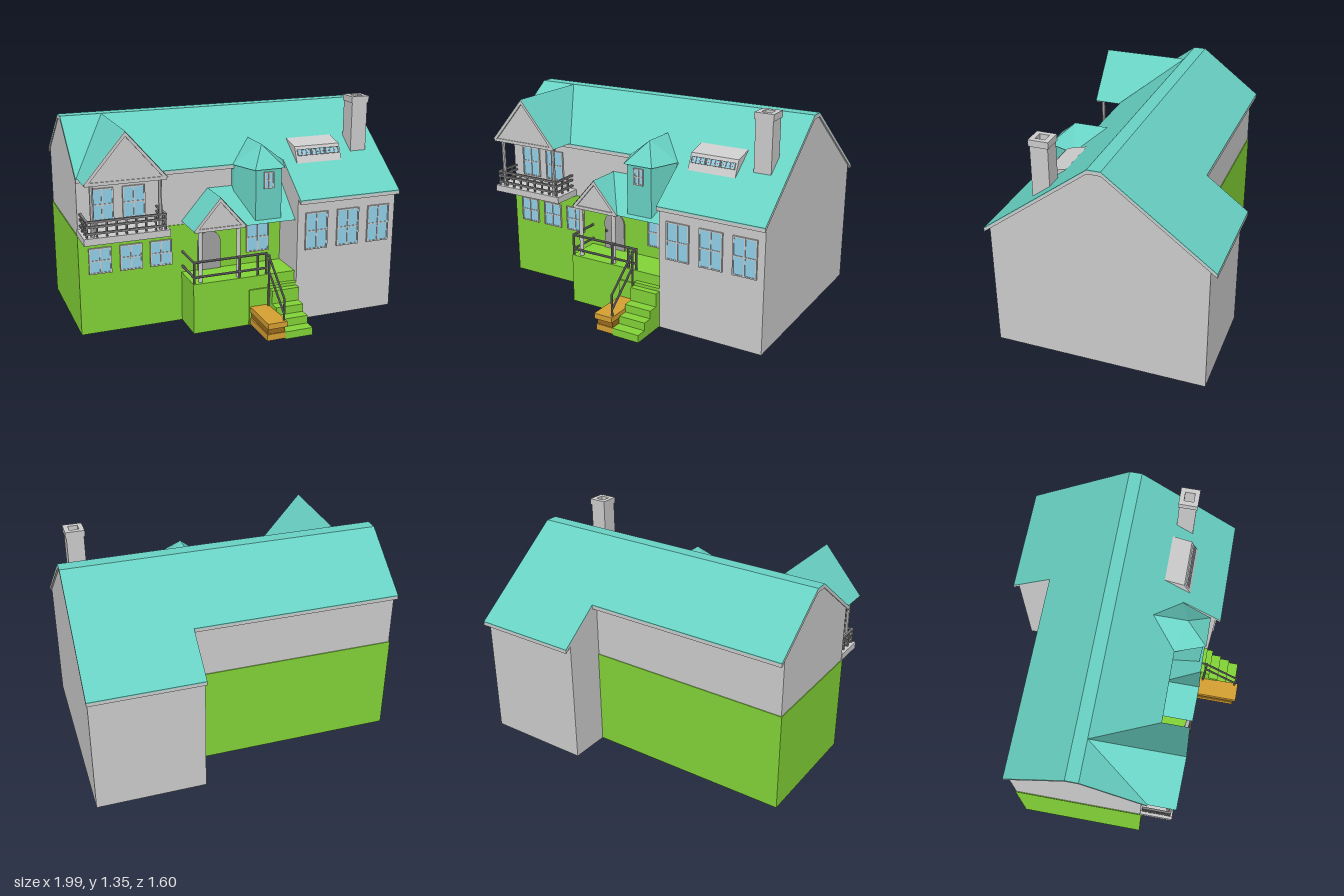
import * as THREE from 'three';

const mat = (color, side = THREE.FrontSide) => new THREE.MeshStandardMaterial({ color, side, flatShading: true });
const GREY = mat(0xcccccc), GREY2 = mat(0xcccccc, THREE.DoubleSide);
const TEAL = mat(0x68d1c3), TEAL2 = mat(0x68d1c3, THREE.DoubleSide);
const GREEN = mat(0x82d237), GREEN2 = mat(0x82d237, THREE.DoubleSide);
const BLUE = mat(0x90cfe8), RAIL = mat(0x808080), DOOR = mat(0xa0a0a0);
const ORANGE = mat(0xd6a032), BROWN = mat(0x9a6a1c);

const add = (g, name, geo, m) => {
  const mesh = new THREE.Mesh(geo, m);
  mesh.name = name;
  g.add(mesh);
  return mesh;
};

// Box given by its limits
function box(g, name, m, x0, x1, y0, y1, z0, z1) {
  const geo = new THREE.BoxGeometry(x1 - x0, y1 - y0, z1 - z0);
  geo.translate((x0 + x1) / 2, (y0 + y1) / 2, (z0 + z1) / 2);
  return add(g, name, geo, m);
}

// Round bar between two points
function bar(g, name, m, a, b, r, sides = 8) {
  const A = new THREE.Vector3(...a), B = new THREE.Vector3(...b), d = B.clone().sub(A);
  const mesh = add(g, name, new THREE.CylinderGeometry(r, r, d.length(), sides), m);
  mesh.position.copy(A).add(B).multiplyScalar(0.5);
  mesh.quaternion.setFromUnitVectors(new THREE.Vector3(0, 1, 0), d.normalize());
}

const shapeOf = (pts) => new THREE.Shape(pts.map((p) => new THREE.Vector2(...p)));

// Profile of [z, y] points extruded from x0 to x1
function extrudeX(g, name, m, pts, x0, x1) {
  const geo = new THREE.ExtrudeGeometry(shapeOf(pts), { depth: x1 - x0, bevelEnabled: false });
  geo.rotateY(-Math.PI / 2).translate(x1, 0, 0);
  return add(g, name, geo, m);
}

// Profile of [x, y] points extruded from z0 to z1
function extrudeZ(g, name, m, shape, z0, z1) {
  const geo = new THREE.ExtrudeGeometry(shape, { depth: z1 - z0, bevelEnabled: false });
  return add(g, name, geo.translate(0, 0, z0), m);
}

// Flat polygons, each fanned into triangles
function facets(g, name, m, polys) {
  const v = [];
  for (const p of polys) for (let i = 1; i < p.length - 1; i++) v.push(...p[0], ...p[i], ...p[i + 1]);
  const geo = new THREE.BufferGeometry();
  geo.setAttribute('position', new THREE.Float32BufferAttribute(v, 3));
  geo.computeVertexNormals();
  return add(g, name, geo, m);
}

// Front-facing window with frame and glazing bars
function windowAt(parent, x0, x1, y0, y1, z, cols = 2, rows = 2, t = 0.004) {
  const g = new THREE.Group();
  g.name = 'window';
  box(g, 'pane', BLUE, x0, x1, y0, y1, z - 0.004, z + 0.004);
  for (let i = 0; i <= cols; i++) {
    const x = x0 + (x1 - x0) * i / cols;
    box(g, 'uprightBar', GREY, x - t, x + t, y0 - t, y1 + t, z - 0.004, z + 0.009);
  }
  for (let i = 0; i <= rows; i++) {
    const y = y0 + (y1 - y0) * i / rows;
    box(g, 'crossBar', GREY, x0 - t, x1 + t, y - t, y + t, z - 0.004, z + 0.008);
  }
  parent.add(g);
}

// Height of the main roof at depth z
const SLOPE = 0.754;
const roofY = (z) => 1.28 - SLOPE * Math.max(0, z + 0.07, -0.15 - z);
const roofLine = (zf, zb, drop) => [zf, -0.07, -0.15, zb].map((z) => [z, roofY(z) - drop]);

// Teal covering over a grey slab
function mainRoof(g, x0, x1, zf, zb) {
  const layer = (a, b) => [...roofLine(zf, zb, a), ...roofLine(zf, zb, b).reverse()];
  extrudeX(g, 'roofCovering', TEAL, layer(0, 0.006), x0, x1);
  extrudeX(g, 'roofSlab', GREY, layer(0.006, 0.026), x0, x1);
}

const gableWall = (g, x0, x1, zf, zb) =>
  extrudeX(g, 'gableWall', GREY, [[zf, 0], ...roofLine(zf, zb, 0.024), [zb, 0]], x0, x1);

// Triangular gable front with raised trim
function gableFront(g, cx, half, eave, apex, z) {
  const tri = (k) => [[cx - half + k, eave], [cx, apex - k * 1.1], [cx + half - k, eave]];
  extrudeZ(g, 'gableFront', GREY, shapeOf(tri(0.015)), z - 0.03, z - 0.01);
  const trim = shapeOf([...tri(0.004), ...tri(0.028).reverse()]);
  extrudeZ(g, 'gableTrim', GREY, trim, z - 0.03, z);
  box(g, 'gableBeam', GREY, cx - half + 0.01, cx + half - 0.01, eave - 0.012, eave + 0.008, z - 0.035, z - 0.004);
}

export function createModel() {
  const house = new THREE.Group();
  house.name = 'house';
  const part = (name) => {
    const g = new THREE.Group();
    g.name = name;
    house.add(g);
    return g;
  };

  // Right wing, open underneath
  const wing = part('rightWing');
  gableWall(wing, 0.975, 0.988, 0.545, -0.76);
  gableWall(wing, 0.31, 0.323, 0.545, -0.76);
  box(wing, 'frontWall', GREY, 0.31, 0.988, 0, roofY(0.545) - 0.02, 0.532, 0.545);
  box(wing, 'backWall', GREY, 0.31, 0.988, 0, roofY(-0.76) - 0.02, -0.76, -0.747);
  mainRoof(wing, 0.31, 0.998, 0.58, -0.8);
  for (const x of [0.365, 0.582, 0.797]) windowAt(wing, x, x + 0.143, 0.465, 0.695, 0.548);

  // Main block, grey walls with green lower cladding
  const main = part('mainBlock');
  gableWall(main, -0.99, -0.977, 0.285, -0.5);
  box(main, 'frontWall', GREY, -0.99, 0.31, 0, roofY(0.285) - 0.02, 0.272, 0.285);
  box(main, 'backWall', GREY, -0.99, 0.31, 0, roofY(-0.5) - 0.02, -0.5, -0.487);
  box(main, 'frontCladding', GREEN, -0.994, 0.31, 0, 0.63, 0.284, 0.29);
  box(main, 'backCladding', GREEN, -0.994, 0.31, 0, 0.63, -0.505, -0.499);
  box(main, 'leftCladding', GREEN, -0.995, -0.989, 0, 0.63, -0.505, 0.29);
  mainRoof(main, -0.995, 0.31, 0.32, -0.54);
  for (const x of [-0.93, -0.74, -0.552]) windowAt(main, x, x + 0.13, 0.388, 0.542, 0.293);
  for (const x of [-0.905, -0.712]) windowAt(main, x, x + 0.13, 0.715, 0.905, 0.288);
  windowAt(main, 0.08, 0.225, 0.4, 0.585, 0.293);

  // Balcony with its gable roof
  const balcony = part('balcony');
  box(balcony, 'balconyFloor', GREY, -0.995, -0.48, 0.63, 0.672, 0.28, 0.48);
  facets(balcony, 'balconyRoof', TEAL2, [-0.25, 0.25].map((s) =>
    [[-0.74, 1.28, 0.49], [-0.74 + s, 0.99, 0.49], [-0.74 + s, 0.99, 0.32], [-0.74, 1.28, -0.07]]));
  gableFront(balcony, -0.74, 0.25, 0.99, 1.28, 0.49);
  for (const x of [-0.937, -0.533]) bar(balcony, 'balconyPost', GREY, [x, 0.67, 0.45], [x, 0.99, 0.45], 0.012);
  for (const y of [0.695, 0.735, 0.765]) {
    box(balcony, 'frontRail', RAIL, -0.98, -0.5, y - 0.006, y + 0.006, 0.454, 0.468);
    for (const x of [-0.98, -0.514]) box(balcony, 'sideRail', RAIL, x, x + 0.014, y - 0.006, y + 0.006, 0.29, 0.468);
  }
  for (let i = 0; i <= 8; i++) bar(balcony, 'baluster', RAIL, [-0.973 + i * 0.0583, 0.67, 0.461], [-0.973 + i * 0.0583, 0.768, 0.461], 0.007, 6);
  for (const x of [-0.973, -0.507]) for (const z of [0.34, 0.4]) bar(balcony, 'baluster', RAIL, [x, 0.67, z], [x, 0.768, z], 0.007, 6);

  // Porch base as a box without its underside
  const porch = part('porch');
  const base = box(porch, 'porchBase', GREEN2, -0.355, 0.31, 0, 0.32, 0.29, 0.515);
  const faces = Array.from(base.geometry.index.array);
  base.geometry.setIndex(faces.filter((_, i) => i < 18 || i >= 24));
  facets(porch, 'porchRoof', TEAL2, [
    [[-0.18, 0.845, 0.51], [-0.18, 0.845, 0.285], [-0.35, 0.65, 0.285], [-0.35, 0.65, 0.51]],
    [[-0.18, 0.845, 0.51], [-0.01, 0.65, 0.51], [-0.18, 0.845, 0.29]],
    [[-0.18, 0.845, 0.29], [-0.01, 0.65, 0.51], [0.31, 0.65, 0.51], [0.31, 0.845, 0.29]],
  ]);
  gableFront(porch, -0.18, 0.17, 0.65, 0.845, 0.51);
  for (const x of [-0.3, -0.055]) bar(porch, 'porchColumn', GREY, [x, 0.32, 0.485], [x, 0.65, 0.485], 0.013, 12);
  const arch = shapeOf([[-0.25, 0.32], [-0.1, 0.32], [-0.1, 0.495]]);
  arch.absarc(-0.175, 0.495, 0.075, 0, Math.PI, false);
  extrudeZ(porch, 'door', DOOR, arch, 0.288, 0.3);
  const knob = add(porch, 'doorKnob', new THREE.SphereGeometry(0.009, 8, 6), RAIL);
  knob.position.set(-0.232, 0.44, 0.306);
  for (const y of [0.36, 0.455]) {
    bar(porch, 'porchRail', RAIL, [-0.348, y, 0.505], [0.122, y, 0.505], 0.008);
    bar(porch, 'porchSideRail', RAIL, [-0.348, y, 0.505], [-0.348, y, 0.29], 0.008);
  }
  for (const x of [-0.348, -0.055, 0.065, 0.122]) bar(porch, 'railPost', RAIL, [x, 0.32, 0.505], [x, 0.462, 0.505], 0.008);

  // Stairs with handrail and the orange plinth beside them
  const stairs = part('stairs');
  extrudeX(stairs, 'steps', GREEN, [[0.51, 0.002], [0.785, 0.002], [0.785, 0.05], [0.715, 0.05], [0.715, 0.1], [0.65, 0.1],
    [0.65, 0.15], [0.585, 0.15], [0.585, 0.235], [0.545, 0.235], [0.545, 0.255], [0.51, 0.255]], 0.13, 0.31);
  box(stairs, 'stairCheek', GREEN, 0.005, 0.13, 0.002, 0.235, 0.51, 0.525);
  box(stairs, 'plinthTop', ORANGE, 0.01, 0.134, 0.09, 0.125, 0.515, 0.8);
  box(stairs, 'plinthBase', BROWN, 0.018, 0.128, 0.05, 0.09, 0.515, 0.78);
  box(stairs, 'plinthFoot', ORANGE, 0.012, 0.13, 0.01, 0.05, 0.515, 0.785);
  for (const h of [0, -0.095]) bar(stairs, 'handrail', RAIL, [0.122, 0.445 + h, 0.55], [0.122, 0.26 + h, 0.775], 0.007);
  bar(stairs, 'handrailPost', RAIL, [0.122, 0.125, 0.775], [0.122, 0.265, 0.775], 0.007);
  bar(stairs, 'handrailPost', RAIL, [0.122, 0.12, 0.55], [0.122, 0.46, 0.55], 0.007);
  bar(stairs, 'handrailLink', RAIL, [0.122, 0.455, 0.5], [0.122, 0.45, 0.555], 0.007);

  // Bay turret standing on the porch roof
  const turret = part('turret');
  const foot = (z) => Math.min(0.85, 0.65 + (0.51 - z) * 0.886);
  const plan = [[-0.022, 0.28], [-0.022, 0.32], [0.053, 0.49], [0.222, 0.49], [0.298, 0.32], [0.298, 0.28]];
  facets(turret, 'turretWalls', TEAL2, plan.slice(1).map(([x1, z1], i) => {
    const [x0, z0] = plan[i];
    return [[x0, foot(z0), z0], [x1, foot(z1), z1], [x1, 0.99, z1], [x0, 0.99, z0]];
  }));
  const tip = [0.138, 1.11, 0.37], ridgeEnd = [0.138, 1.11, 0.155];
  const rim = [[-0.03, 0.32], [0.04, 0.508], [0.236, 0.508], [0.306, 0.32]].map(([x, z]) => [x, 0.985, z]);
  facets(turret, 'turretRoof', TEAL2, [[ridgeEnd, rim[0], tip], ...[0, 1, 2].map((i) => [tip, rim[i], rim[i + 1]]), [tip, rim[3], ridgeEnd]]);
  windowAt(turret, 0.108, 0.165, 0.868, 0.962, 0.492);

  // Long roof dormer with three small windows on its sloping front
  const dormer = part('roofDormer');
  extrudeX(dormer, 'dormerBody', GREY, [[0.185, 1.09], [0.31, 1.06], [0.355, 0.962], [0.3, 0.98]], 0.39, 0.7);
  const lights = new THREE.Group();
  lights.name = 'dormerLights';
  for (const x of [-0.14, -0.043, 0.054]) windowAt(lights, x, x + 0.086, -0.018, 0.018, 0, 3, 2, 0.002);
  lights.position.set(0.545, 1.023, 0.328);
  lights.rotation.x = -Math.atan2(0.045, 0.098);
  dormer.add(lights);

  // Chimney with a hollow flared cap
  const chimney = part('chimney');
  const tube = (name, h, y0, y1) => {
    const s = shapeOf([[-h, -h], [h, -h], [h, h], [-h, h]]);
    s.holes.push(new THREE.Path([[-1, -1], [-1, 1], [1, 1], [1, -1]].map(([a, b]) => new THREE.Vector2(a * 0.03, b * 0.03))));
    const geo = new THREE.ExtrudeGeometry(s, { depth: y1 - y0, bevelEnabled: false });
    add(chimney, name, geo.rotateX(-Math.PI / 2).translate(0.845, y0, 0.25), GREY2);
  };
  tube('chimneyStack', 0.054, 0.985, 1.32);
  tube('chimneyCap', 0.06, 1.31, 1.35);
  return house;
}
